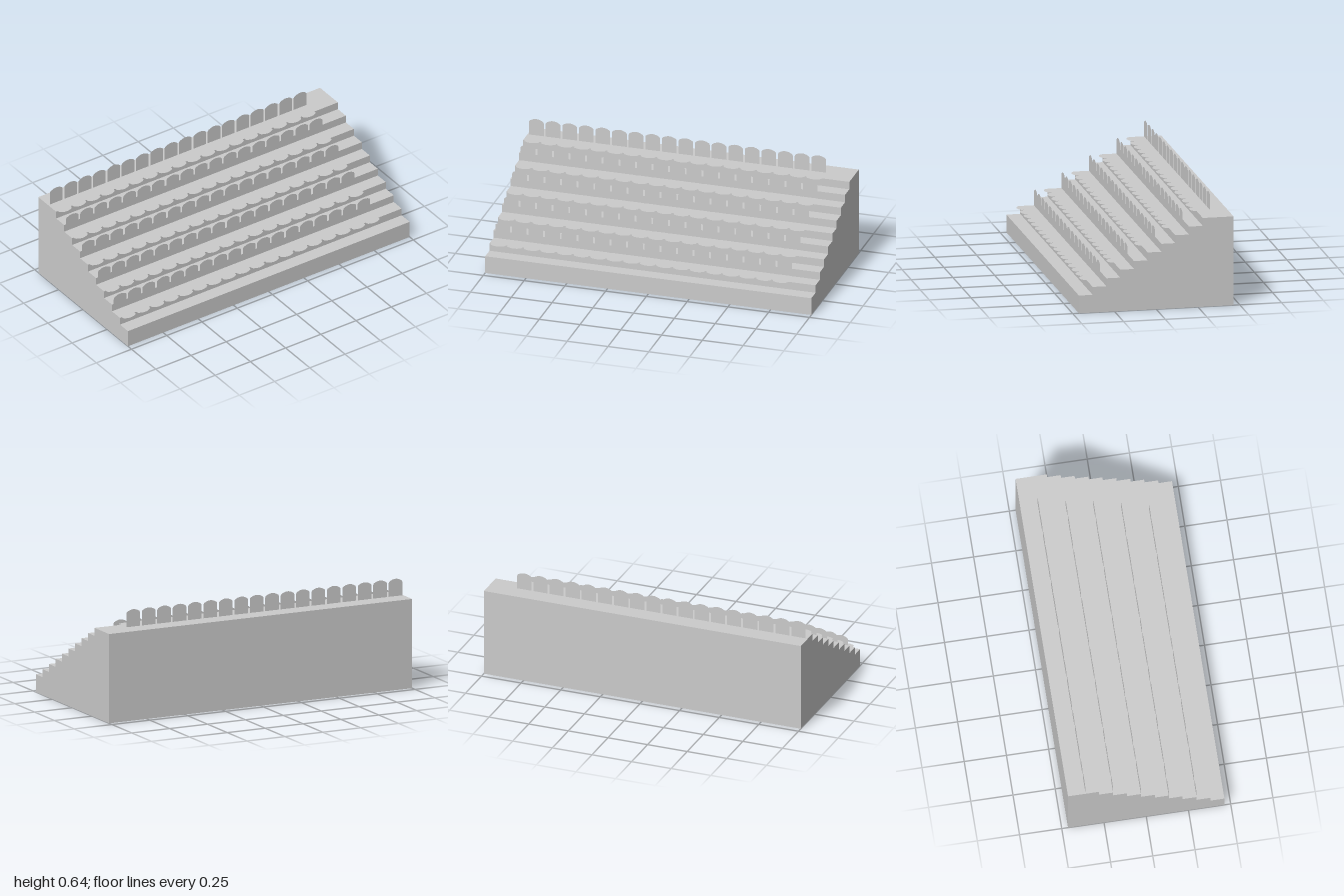
import * as THREE from 'three';

const LEVELS = 10, FRONT = 0.463, TREAD = 0.0824, BASE = 0.107, RISE = 0.0476;
const SEATS = 18, PITCH = 0.1018, FIRST = -0.944, ROWS = 5, LIFT = 0.002;

const levelTop = (i) => BASE + i * RISE;
const levelFront = (i) => FRONT - i * TREAD;

// Solid stepped stand: side profile swept along x
function buildSteps(material) {
  const profile = new THREE.Shape();
  profile.moveTo(FRONT, 0);
  for (let i = 0; i < LEVELS; i++) {
    profile.lineTo(levelFront(i), levelTop(i));
    if (i < LEVELS - 1) profile.lineTo(levelFront(i + 1), levelTop(i));
  }
  profile.lineTo(-FRONT, levelTop(LEVELS - 1));
  profile.lineTo(-FRONT, 0);
  profile.closePath();
  const geometry = new THREE.ExtrudeGeometry(profile, { depth: 2, bevelEnabled: false });
  geometry.translate(0, 0, -1);
  geometry.rotateY(-Math.PI / 2);
  const steps = new THREE.Mesh(geometry, material);
  steps.name = 'steps';
  return steps;
}

// Thin panel with a shallow arched end, shared by seats and backrests
function panelGeometry(width, length) {
  const w = width / 2;
  const shape = new THREE.Shape();
  shape.moveTo(-w, 0);
  shape.lineTo(w, 0);
  shape.lineTo(w, length - 0.024);
  shape.quadraticCurveTo(w, length - 0.016, w * 0.82, length - 0.011);
  shape.quadraticCurveTo(0, length + 0.011, -w * 0.82, length - 0.011);
  shape.quadraticCurveTo(-w, length - 0.016, -w, length - 0.024);
  shape.closePath();
  return new THREE.ShapeGeometry(shape, 8);
}

export function createModel() {
  const model = new THREE.Group();
  model.name = 'grandstand';
  const solid = new THREE.MeshStandardMaterial({ color: 0xcccccc, flatShading: true });
  const thin = new THREE.MeshStandardMaterial({ color: 0xcccccc, side: THREE.DoubleSide });
  model.add(buildSteps(solid));

  const backGeometry = panelGeometry(0.09, 0.104);
  const seatGeometry = panelGeometry(0.09, 0.114).rotateX(Math.PI / 2);

  // A row of seats on every second level
  for (let r = 0; r < ROWS; r++) {
    const level = 2 * r + 1;
    const row = new THREE.Group();
    row.name = `seatRow${r + 1}`;
    row.position.set(0, levelTop(level) + LIFT, levelFront(level + 1) + LIFT);
    for (let s = 0; s < SEATS; s++) {
      const seat = new THREE.Mesh(seatGeometry, thin);
      seat.name = 'seat';
      const back = new THREE.Mesh(backGeometry, thin);
      back.name = 'backrest';
      seat.position.x = back.position.x = FIRST + s * PITCH;
      row.add(seat, back);
    }
    model.add(row);
  }
  return model;
}
